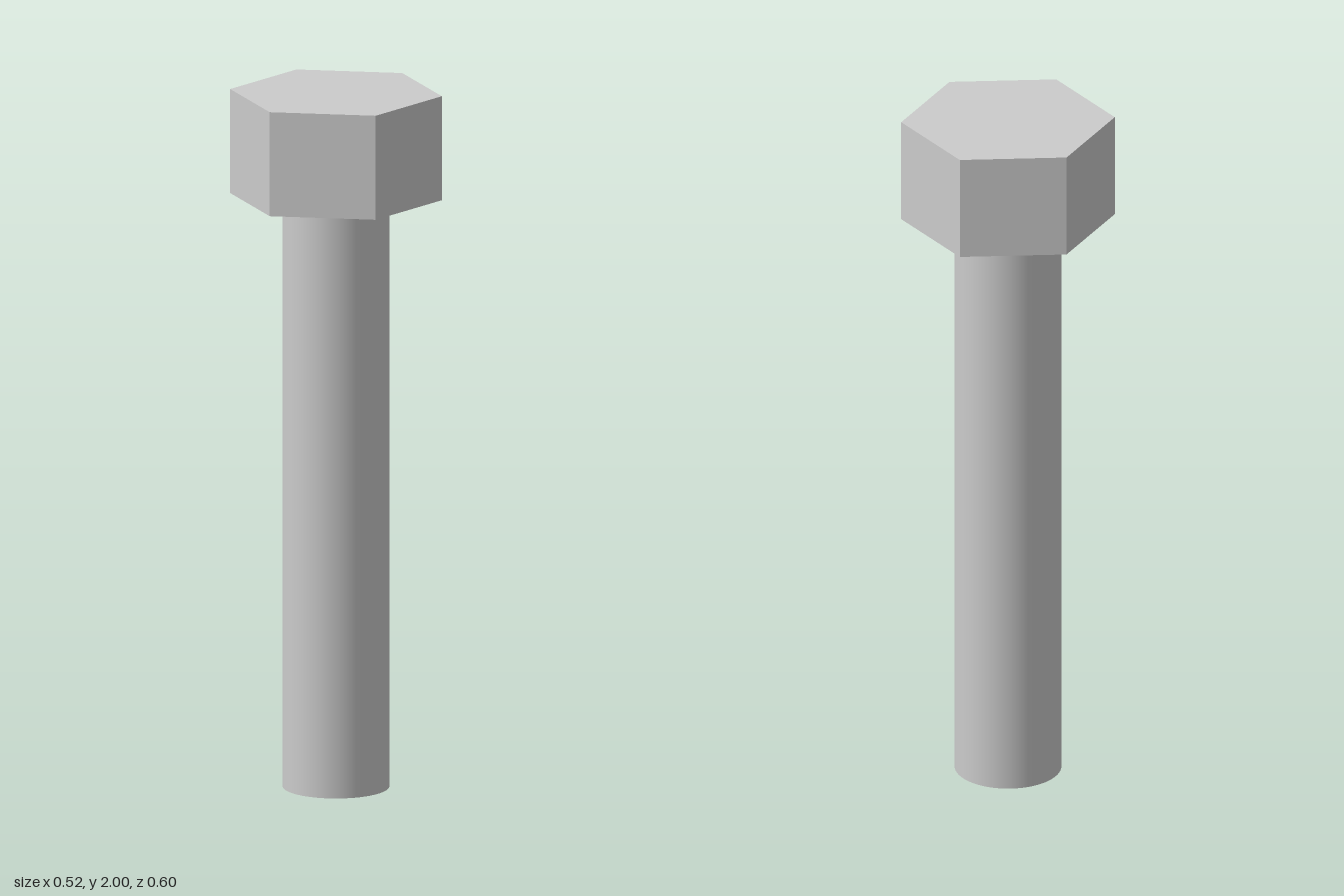
import * as THREE from 'three';

export function createModel() {
  const group = new THREE.Group();
  group.name = 'hexBolt';

  // Adds an upright cylinder or prism spanning bottom..top
  const addCylinder = (name, radius, bottom, top, sides, flatShading) => {
    const mesh = new THREE.Mesh(
      new THREE.CylinderGeometry(radius, radius, top - bottom, sides),
      new THREE.MeshStandardMaterial({ color: 0xcccccc, flatShading })
    );
    mesh.name = name;
    mesh.position.y = (bottom + top) / 2;
    group.add(mesh);
  };

  // Smooth round shank
  addCylinder('shank', 0.15, 0, 1.7, 64, false);

  // Six-sided head with corners on the z axis
  addCylinder('head', 0.3, 1.7, 2, 6, true);

  return group;
}
